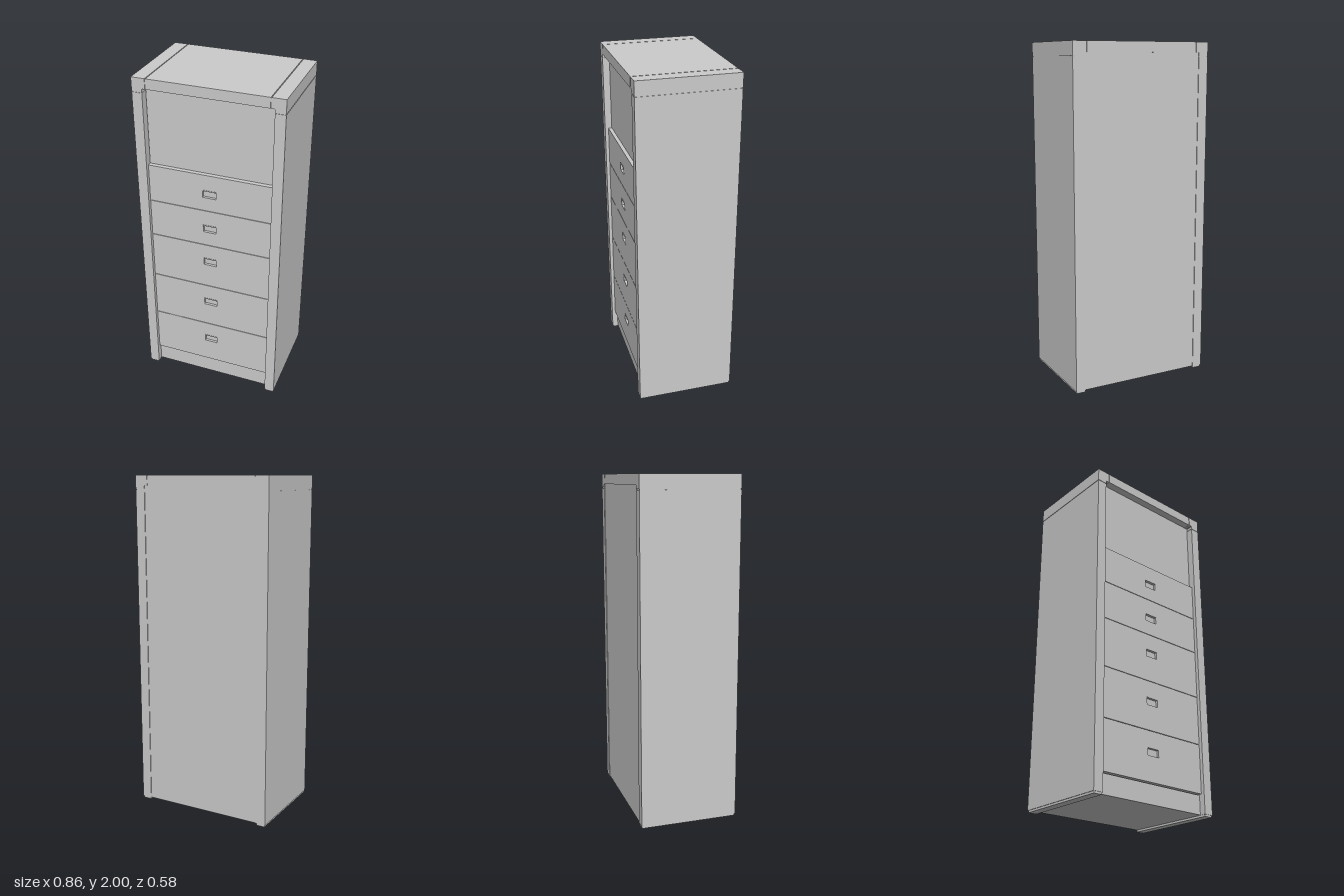
import * as THREE from 'three';

const mat = new THREE.MeshStandardMaterial({ color: 0xcccccc, flatShading: true });

export function createModel() {
  const group = new THREE.Group();
  const add = (name, geo) => {
    const mesh = new THREE.Mesh(geo, mat);
    mesh.name = name;
    group.add(mesh);
    return mesh;
  };
  // box given by its limits on each axis
  const box = (name, x0, x1, y0, y1, z0, z1) =>
    add(name, new THREE.BoxGeometry(x1 - x0, y1 - y0, z1 - z0))
      .position.set((x0 + x1) / 2, (y0 + y1) / 2, (z0 + z1) / 2);
  const outline = (shape, pts) => {
    pts.forEach(([x, y], i) => (i ? shape.lineTo(x, y) : shape.moveTo(x, y)));
    shape.closePath();
    return shape;
  };
  const rect = (x, y0, y1) => [[-x, y0], [x, y0], [x, y1], [-x, y1]];

  // inner carcass, with a closed back
  box('carcass', -0.372, 0.372, 0.012, 1.945, -0.286, 0.235);
  box('topCore', -0.426, 0.426, 1.942, 1.996, -0.286, 0.286);

  // side panels on slightly inset feet, and the end pieces of the top
  for (const s of [-1, 1]) {
    const side = (name, a, b, y0, y1, z) =>
      box(name, Math.min(s * a, s * b), Math.max(s * a, s * b), y0, y1, -z, z);
    side('sidePanel', 0.37, 0.43, 0.012, 1.916, 0.29);
    side('foot', 0.373, 0.426, 0, 0.013, 0.287);
    side('shadowGap', 0.372, 0.427, 1.91, 1.925, 0.287);
    const end = outline(new THREE.Shape(), [[0.351, 1.94], [0.367, 1.94], [0.37, 1.937],
      [0.37, 1.92], [0.43, 1.92], [0.43, 2], [0.351, 2]].map(([x, y]) => [s * x, y]));
    add('topEnd', new THREE.ExtrudeGeometry(end, { depth: 0.58, bevelEnabled: false }))
      .position.z = -0.29;
  }
  box('topPanel', -0.346, 0.346, 1.94, 2, -0.29, 0.29);

  // recessed upper door and plinth
  box('upperDoor', -0.366, 0.366, 1.48, 1.935, 0.23, 0.25);
  box('plinth', -0.368, 0.368, 0.012, 0.124, 0.23, 0.255);

  // drawer fronts: [bottom, top, pull height], each with a small recessed pull
  const drawers = [[0.127, 0.42, 0.3], [0.42, 0.717, 0.595], [0.717, 1.013, 0.895],
    [1.013, 1.247, 1.127], [1.247, 1.478, 1.357]];
  for (const [y0, y1, yp] of drawers) {
    const front = outline(new THREE.Shape(), rect(0.368, y0 + 0.0015, y1 - 0.0015));
    front.holes.push(outline(new THREE.Path(), rect(0.04, yp - 0.024, yp + 0.024)));
    add('drawerFront', new THREE.ExtrudeGeometry(front, { depth: 0.035, bevelEnabled: false }))
      .position.z = 0.235;
    box('pullBack', -0.042, 0.042, yp - 0.026, yp + 0.026, 0.234, 0.255);
    box('pullLip', -0.04, 0.04, yp + 0.018, yp + 0.024, 0.255, 0.272);
  }
  return group;
}
